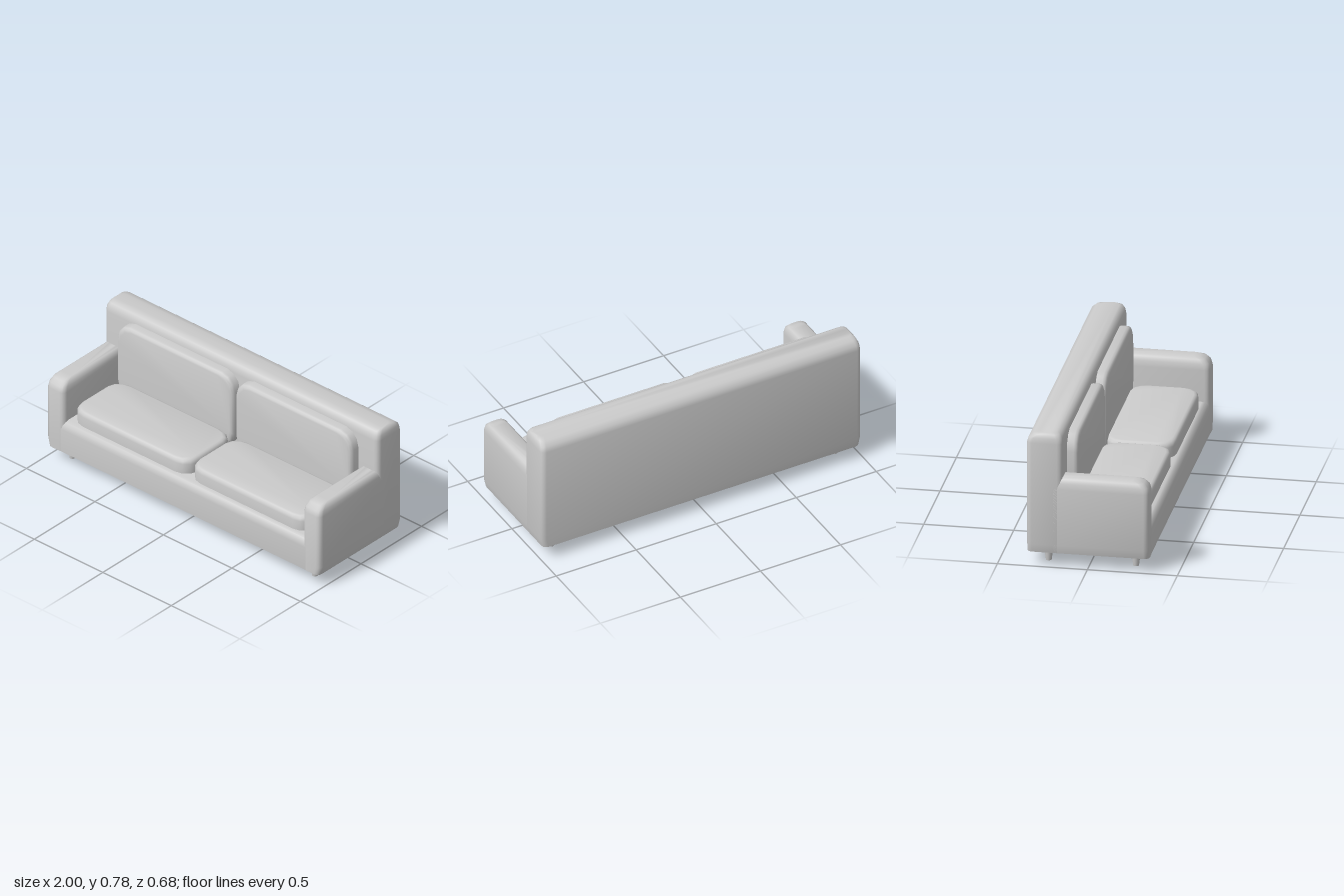
import * as THREE from 'three';
import { toCreasedNormals } from 'three/addons/utils/BufferGeometryUtils.js';

const material = new THREE.MeshStandardMaterial({ color: 0xcccccc });

// Upright block with rounded vertical corners, a flat bottom and a rolled top.
// inset: how far the top rolls in on [x0, x1, z0, z1]; drop: height of the roll;
// corner: [rx, rz]; foot: slight tuck at the bottom on [x0, x1].
function softBlock([x0, x1], [y0, y1], [z0, z1], { inset, drop, corner, foot = [0, 0] }) {
  const steps = 3, [rx, rz] = corner;
  const levels = [[y0, 0, 1]];
  if (foot[0] || foot[1]) levels.push([y0 + 0.05, 0, 0]);
  for (let i = 0; i <= steps; i++) {
    const a = (i / steps) * Math.PI / 2;
    levels.push([y1 - drop * (1 - Math.sin(a)), 1 - Math.cos(a), 0]);
  }
  const pos = [], index = [], n = 4 * (steps + 1);
  for (const [y, roll, tuck] of levels) {
    const a0 = x0 + inset[0] * roll + foot[0] * tuck, a1 = x1 - inset[1] * roll - foot[1] * tuck;
    const b0 = z0 + inset[2] * roll, b1 = z1 - inset[3] * roll;
    [[a1, b1, -1, -1], [a0, b1, 1, -1], [a0, b0, 1, 1], [a1, b0, -1, 1]].forEach(([cx, cz, sx, sz], q) => {
      for (let i = 0; i <= steps; i++) {
        const t = (q + i / steps) * Math.PI / 2;
        pos.push(cx + sx * rx + rx * Math.cos(t), y, cz + sz * rz + rz * Math.sin(t));
      }
    });
  }
  for (let l = 0; l < levels.length - 1; l++) {
    for (let i = 0; i < n; i++) {
      const a = l * n + i, b = l * n + (i + 1) % n;
      index.push(a, a + n, b, b, a + n, b + n);
    }
  }
  // caps
  const top = (levels.length - 1) * n;
  for (let i = 1; i < n - 1; i++) {
    index.push(0, i, i + 1, top, top + i + 1, top + i);
  }
  const geometry = new THREE.BufferGeometry();
  geometry.setAttribute('position', new THREE.Float32BufferAttribute(pos, 3));
  geometry.setIndex(index);
  return toCreasedNormals(geometry, 0.9);
}

export function createModel() {
  const group = new THREE.Group();
  const add = (name, geometry) => {
    const mesh = new THREE.Mesh(geometry, material);
    mesh.name = name;
    group.add(mesh);
    return mesh;
  };

  // Backrest, with a longer roll at the rear than at the front
  add('backrest', softBlock([-1, 1], [0.08, 0.783], [-0.34, -0.14],
    { inset: [0.02, 0.02, 0.07, 0.035], drop: 0.06, corner: [0.03, 0.03], foot: [0.012, 0.012] }));

  // Seat base between the arms
  add('seatBase', softBlock([-0.94, 0.94], [0.08, 0.275], [-0.25, 0.338],
    { inset: [0, 0, 0, 0.04], drop: 0.05, corner: [0.004, 0.004] }));

  for (const side of [1, -1]) {
    const label = side > 0 ? 'left' : 'right';
    const span = (a, b) => (side > 0 ? [a, b] : [-b, -a]);

    // Armrest, running back into the backrest
    add(label + 'Armrest', softBlock(span(0.872, 1), [0.08, 0.525], [-0.22, 0.34],
      { inset: [0.025, 0.025, 0, 0.065], drop: 0.065, corner: [0.03, 0.03],
        foot: side > 0 ? [0, 0.012] : [0.012, 0] }));

    // Seat cushion
    add(label + 'SeatCushion', softBlock(span(0.003, 0.855), [0.27, 0.365], [-0.09, 0.298],
      { inset: [0.022, 0.022, 0.022, 0.022], drop: 0.03, corner: [0.09, 0.08] }));

    // Back cushion, the same pillow stood on edge
    const cushion = softBlock(span(0.008, 0.858), [-0.15, -0.078], [-0.73, -0.26],
      { inset: [0.022, 0.022, 0.022, 0.022], drop: 0.025, corner: [0.09, 0.1] });
    add(label + 'BackCushion', cushion.rotateX(Math.PI / 2));

    // Tapered legs
    for (const [end, z] of [['Front', 0.25], ['Back', -0.235]]) {
      const leg = add(label + end + 'Leg', new THREE.CylinderGeometry(0.028, 0.016, 0.085, 12));
      leg.position.set(side * 0.886, 0.0425, z);
    }
  }
  return group;
}
